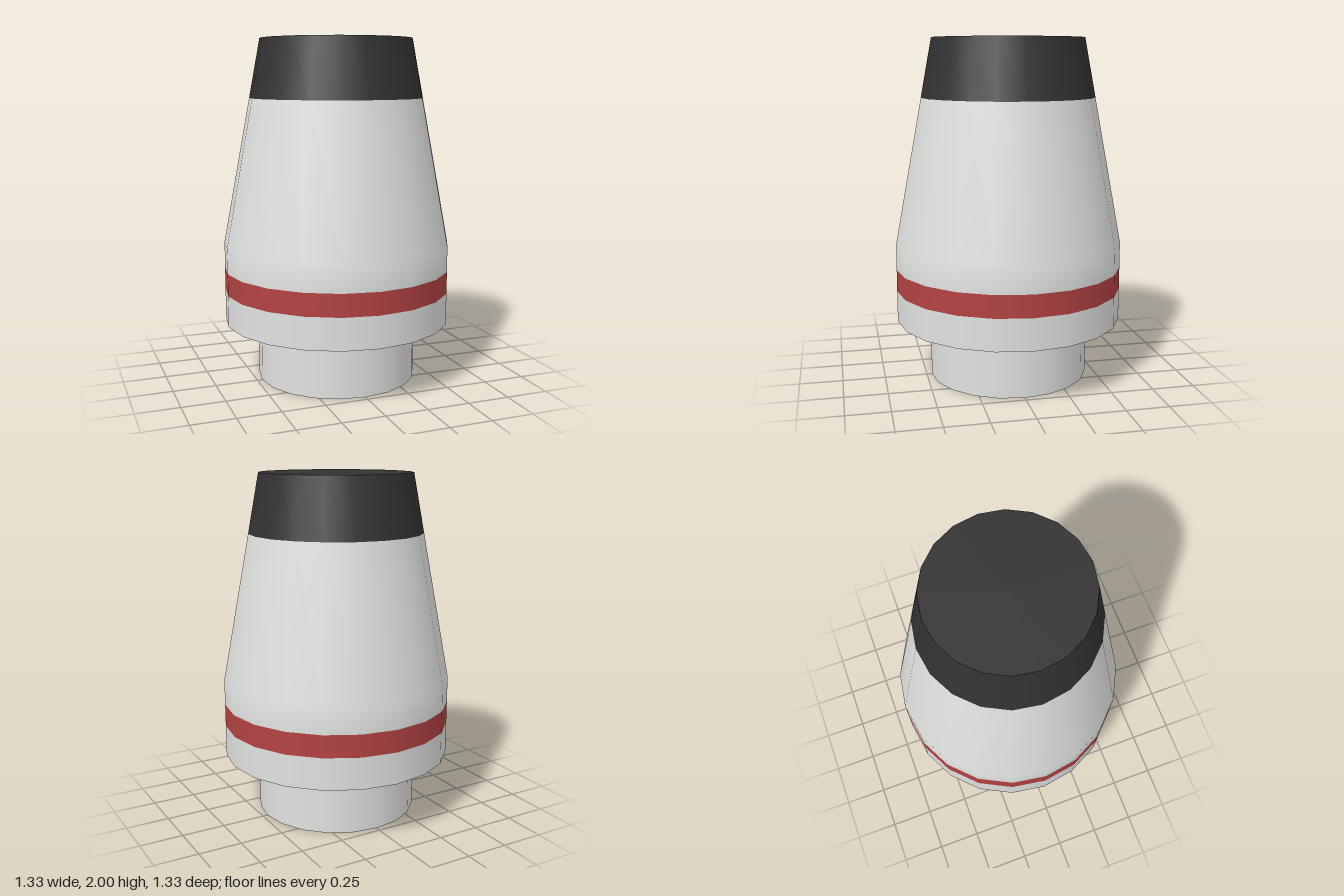
import * as THREE from 'three';

const SIDES = 20;
const white = new THREE.MeshStandardMaterial({ name: 'light grey', color: 0xe0e2e0 });
const red = new THREE.MeshStandardMaterial({ name: 'red', color: 0xb34242 });
const black = new THREE.MeshStandardMaterial({ name: 'black', color: 0x323232 });

export function createModel() {
  const group = new THREE.Group();

  const add = (name, geometry, material) => {
    const mesh = new THREE.Mesh(geometry, material);
    mesh.name = name;
    group.add(mesh);
  };
  // Open side wall through [radius, height] points, smooth along its length
  const wall = (name, material, points) =>
    add(name, new THREE.LatheGeometry(points.map(([r, y]) => new THREE.Vector2(r, y)), SIDES), material);
  // Flat disc or ring facing up (1) or down (-1); quarter start keeps corners on the axes
  const disc = (name, material, inner, outer, y, facing) => {
    const geometry = inner > 0
      ? new THREE.RingGeometry(inner, outer, SIDES)
      : new THREE.CircleGeometry(outer, SIDES);
    add(name, geometry.rotateX(-facing * Math.PI / 2).translate(0, y, 0), material);
  };

  // Narrow base plug
  disc('baseUnderside', white, 0, 0.47, 0, -1);
  wall('basePlug', white, [[0.47, 0], [0.47, 0.345]]);

  // Wide collar with a painted band
  disc('collarUnderside', white, 0.47, 0.667, 0.345, -1);
  wall('lowerCollar', white, [[0.667, 0.345], [0.667, 0.53]]);
  wall('redBand', red, [[0.667, 0.53], [0.667, 0.66]]);

  // Upper collar flowing into the tapered body
  wall('taperedBody', white, [[0.667, 0.66], [0.667, 0.81], [0.507, 1.66]]);

  // Dark tip
  wall('tipSide', black, [[0.507, 1.66], [0.443, 2]]);
  disc('tipTop', black, 0, 0.443, 2, 1);

  return group;
}
